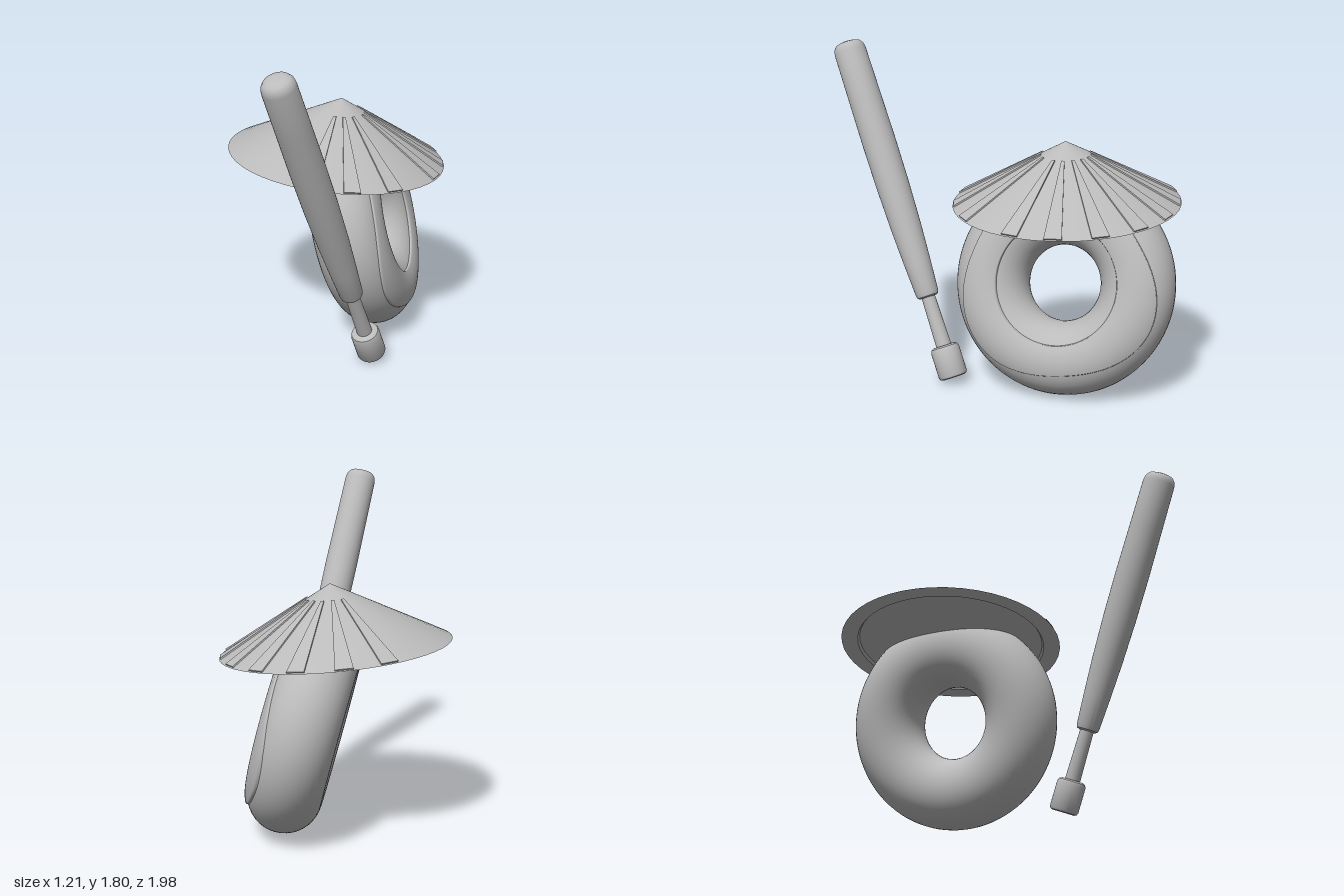
import * as THREE from 'three';
import { toCreasedNormals } from 'three/addons/utils/BufferGeometryUtils.js';
import { ParametricGeometry } from 'three/addons/geometries/ParametricGeometry.js';

const grey = new THREE.MeshStandardMaterial({ color: 0xbbbbbb });
grey.name = 'plain grey';

const rad = THREE.MathUtils.degToRad;

function part(name, geometry) {
  const mesh = new THREE.Mesh(geometry, grey);
  mesh.name = name;
  return mesh;
}

function lathe(points, segments, crease) {
  const profile = points.map(([r, y]) => new THREE.Vector2(r, y));
  return toCreasedNormals(new THREE.LatheGeometry(profile, segments), crease);
}

// Leaning ring with a wavy-edged layer of icing on one face
function createRing() {
  const R = 0.397, r = 0.196;
  const ring = new THREE.Group();
  ring.name = 'icedRing';
  ring.add(part('dough', new THREE.TorusGeometry(R, r, 40, 96)));

  const icing = (u, v, target) => {
    const phi = u * Math.PI * 2;
    const outer = 0.525 + 0.033 * Math.cos(3 * (phi - rad(218)));
    const start = Math.acos((outer - R) / 0.207);
    const theta = THREE.MathUtils.lerp(start, rad(114), v);
    const tube = r - 0.008 + 0.02 * Math.min(1, Math.sin(Math.PI * v) * 4);
    const d = R + tube * Math.cos(theta);
    target.set(d * Math.cos(phi), d * Math.sin(phi), tube * Math.sin(theta));
  };
  ring.add(part('icing', new ParametricGeometry(icing, 120, 36)));

  const axis = new THREE.Vector3(0.96, 0.255, -0.13).normalize();
  const up = new THREE.Vector3(0, 1, 0).addScaledVector(axis, -axis.y).normalize();
  const side = new THREE.Vector3().crossVectors(up, axis);
  ring.quaternion.setFromRotationMatrix(new THREE.Matrix4().makeBasis(side, up, axis));
  ring.position.set(0.15, 0.592, -0.41);
  return ring;
}

// Conical hat with thin tapering slats on part of its slope
function createHat() {
  const radius = 0.61, height = 0.335;
  const hat = new THREE.Group();
  hat.name = 'conicalHat';
  hat.add(part('cone', lathe(
    [[0, 0.015], [0.51, 0.015], [0.52, 0], [radius, 0], [0, height]], 48, 0.5)));

  const slope = Math.atan2(height, radius);
  const slant = Math.hypot(radius, height);
  const outline = new THREE.Shape();
  outline.moveTo(0.15, -0.008);
  outline.lineTo(slant - 0.01, -0.046);
  outline.lineTo(slant - 0.01, 0.046);
  outline.lineTo(0.15, 0.008);
  const slat = new THREE.ExtrudeGeometry(outline, { depth: 0.012, bevelEnabled: false });
  slat.rotateX(-Math.PI / 2);
  slat.translate(0, -0.005, 0);
  slat.rotateZ(-slope);
  slat.translate(0, height, 0);
  for (const angle of [129, 107, 84, 62, 40, 17, -5, -39.5, -63, -85]) {
    const mesh = part('slat', slat);
    mesh.rotation.y = rad(angle);
    hat.add(mesh);
  }
  hat.position.set(0, 0.995, -0.35);
  hat.rotation.set(-0.012, 0, rad(-5.2));
  return hat;
}

// Slanted club: knob, thin neck and long swelling barrel
function createClub() {
  const club = new THREE.Group();
  club.name = 'club';
  club.add(part('knob', lathe(
    [[0, 0], [0.06, 0], [0.073, 0.005], [0.079, 0.018], [0.079, 0.155],
      [0.073, 0.172], [0.058, 0.18], [0, 0.18]], 32, 0.7)));
  club.add(part('neck', new THREE.CylinderGeometry(0.037, 0.042, 0.32, 24).translate(0, 0.32, 0)));
  club.add(part('barrel', lathe(
    [[0, 0.455], [0.045, 0.455], [0.058, 0.462], [0.063, 0.48], [0.073, 0.65],
      [0.083, 0.85], [0.09, 1.1], [0.092, 1.35], [0.09, 1.6], [0.088, 1.87],
      [0.083, 1.895], [0.068, 1.915], [0.045, 1.922], [0, 1.925]], 36, 0.7)));

  const bottom = new THREE.Vector3(0.38, 0.045, 0.14);
  const direction = new THREE.Vector3(-0.25, 1.75, 0.78).normalize();
  club.position.copy(bottom);
  club.quaternion.setFromUnitVectors(new THREE.Vector3(0, 1, 0), direction);
  return club;
}

export function createModel() {
  const model = new THREE.Group();
  model.name = 'ringWithHatAndClub';
  model.add(createRing(), createHat(), createClub());
  return model;
}
